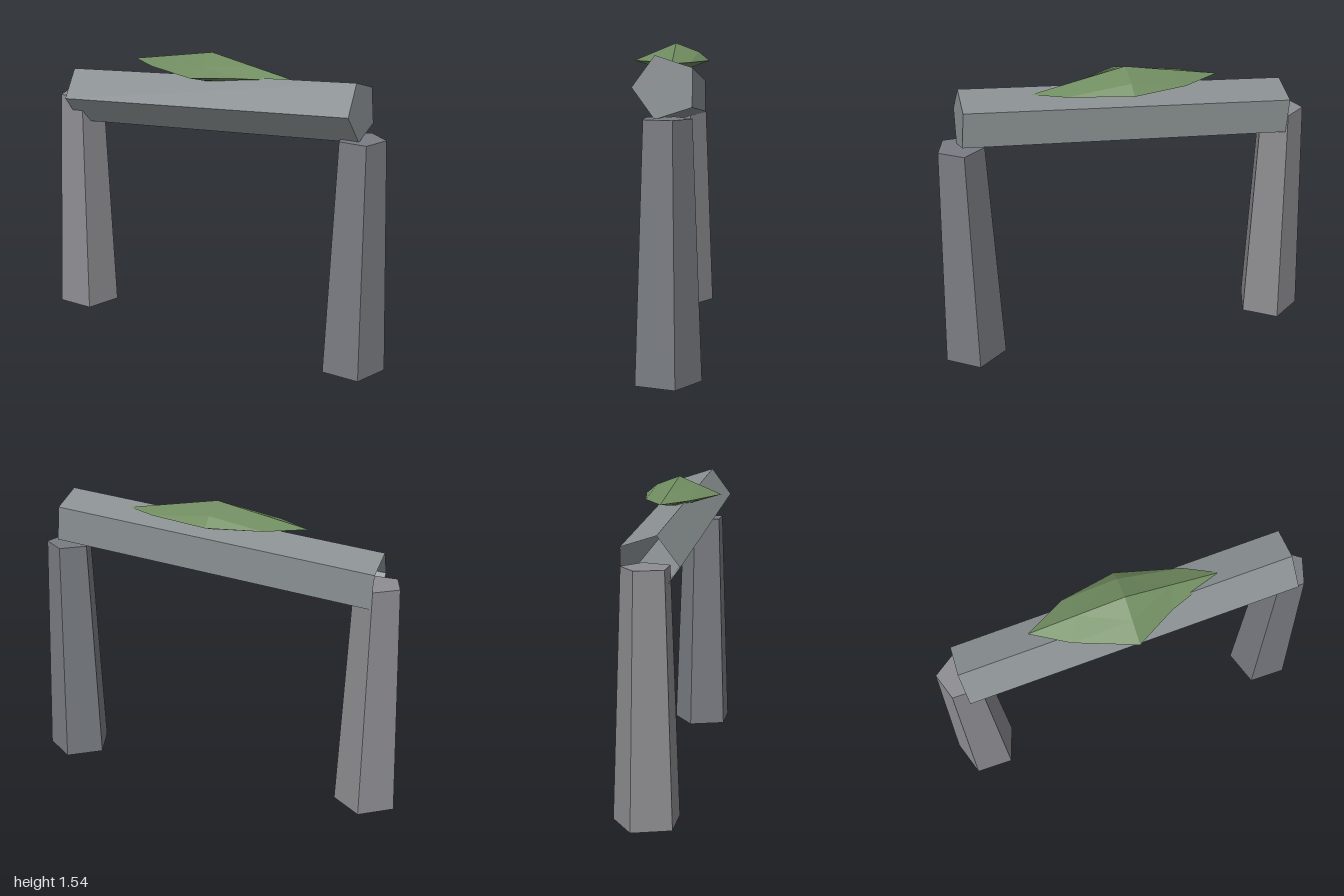
import * as THREE from 'three';

const mat = (color) =>
  new THREE.MeshStandardMaterial({ color, flatShading: true, side: THREE.DoubleSide });

// Five-sided stone: open at its foot, capped at its top
function stone(name, color, rFoot, rTop, length, phi) {
  const profile = [[rFoot, 0], [rTop, length], [0, length]].map(([x, y]) => new THREE.Vector2(x, y));
  const mesh = new THREE.Mesh(new THREE.LatheGeometry(profile, 5, phi), mat(color));
  mesh.name = name;
  return mesh;
}

// Flat faceted moss clump: an eight-point rim, a peak above and a point below
function mossGeometry() {
  const rimY = 1.455;
  const rim = [
    [0.48, -0.03], [0.32, -0.11], [0, -0.195], [-0.28, -0.14],
    [-0.48, -0.03], [-0.3, 0.08], [0, 0.195], [0.2, 0.08],
  ].map(([x, z]) => new THREE.Vector3(x, rimY, z));
  const points = [];
  for (const [peakY, up] of [[1.545, true], [1.39, false]]) {
    const peak = new THREE.Vector3(0, peakY, -0.022);
    const mids = [0, 2, 4, 6].map((i) => rim[i].clone().lerp(peak, 0.5));
    if (up) mids[1].z = -0.14; // fuller back slope
    for (let k = 0; k < 4; k++) {
      const [a, b, c] = [rim[2 * k], rim[2 * k + 1], rim[(2 * k + 2) % 8]];
      const [m, n] = [mids[k], mids[(k + 1) % 4]];
      for (const t of [[a, b, m], [b, c, n], [b, n, m], [m, n, peak]])
        points.push(...(up ? t : t.reverse()));
    }
  }
  const geometry = new THREE.BufferGeometry().setFromPoints(points);
  geometry.computeVertexNormals();
  return geometry;
}

export function createModel() {
  const group = new THREE.Group();
  group.name = 'stoneArch';

  // Upright stones
  for (const [name, side, color] of [['rightPillar', -1, 0x8e8e92], ['leftPillar', 1, 0x797c82]]) {
    const pillar = stone(name, color, 0.168, 0.121, 1.22, Math.PI);
    pillar.position.set(0.84 * side, 0, -0.025);
    group.add(pillar);
  }

  // Tilted lintel
  const run = 1.676, rise = 0.14;
  const lintel = stone('lintel', 0x8a9092, 0.152, 0.152, Math.hypot(run, rise), 0);
  lintel.rotation.z = Math.atan2(rise, run) - Math.PI / 2;
  lintel.position.set(-run / 2, 1.22, -0.022);
  group.add(lintel);

  // Moss on the lintel
  const moss = new THREE.Mesh(mossGeometry(), mat(0x708c60));
  moss.name = 'mossPatch';
  group.add(moss);

  return group;
}
